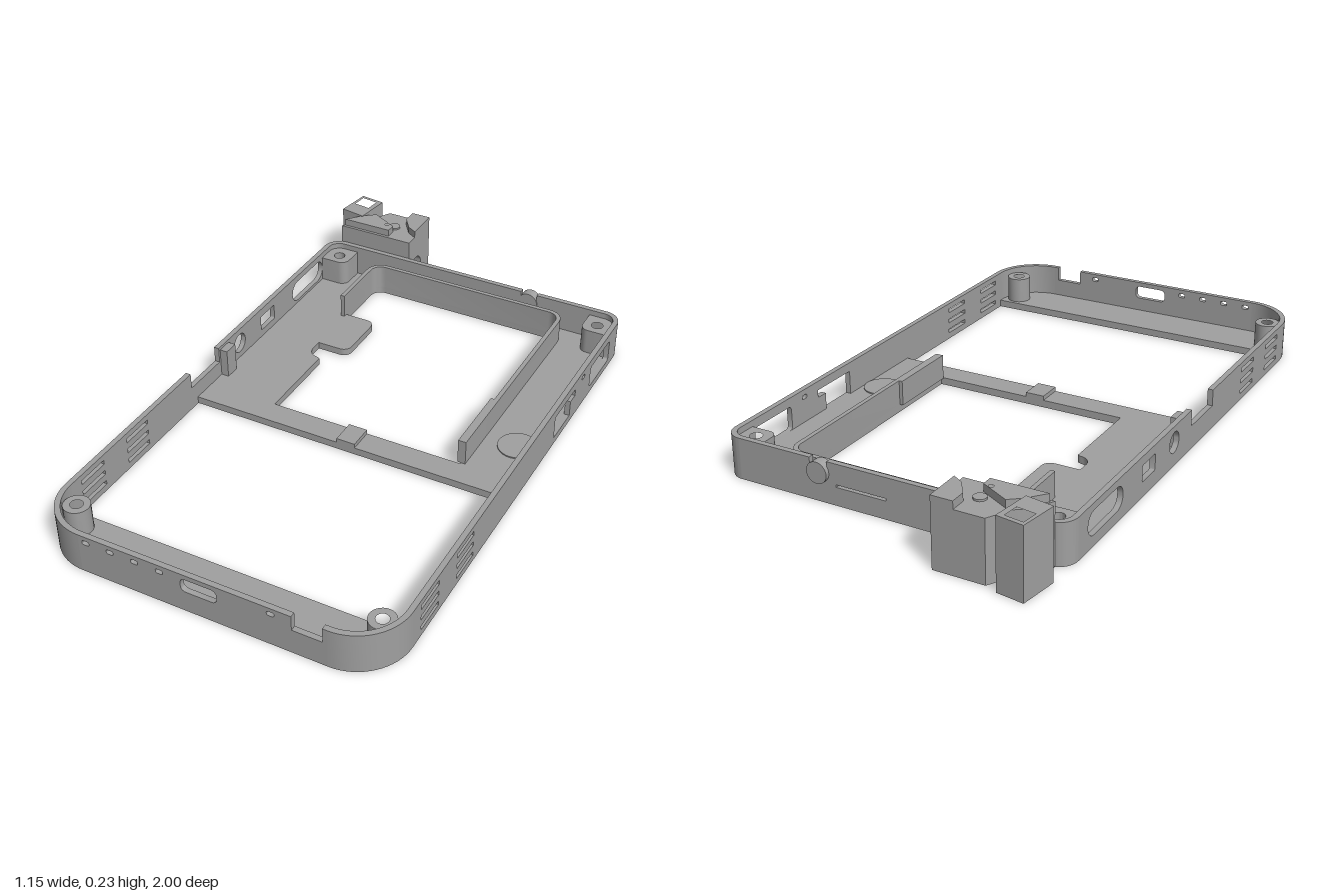
import * as THREE from 'three';
import { toCreasedNormals } from 'three/addons/utils/BufferGeometryUtils.js';

const H = 0.135, T = 0.018, W = 0.575, FRONT = 1, BACK = -0.805;
const RF = 0.17, RB = 0.06, FLOOR = 0.025;

const grey = new THREE.MeshStandardMaterial({ color: 0xa0a0a0 });
grey.name = 'plastic grey';

// points along an arc, angles in quarter turns
function arc(cx, cy, r, a0, a1, n = 10) {
  return Array.from({ length: n + 1 }, (_, i) => {
    const a = (a0 + (a1 - a0) * i / n) * Math.PI / 2;
    return [cx + r * Math.cos(a), cy + r * Math.sin(a)];
  });
}
const circle = (cx, cy, r) => arc(cx, cy, r, 0, 4, 28).slice(0, -1);
const box2 = (a, b, c, d) => [[a, c], [b, c], [b, d], [a, d]];
function rounded(a, b, c, d, r) {
  return [...arc(b - r, d - r, r, 0, 1, 5), ...arc(a + r, d - r, r, 1, 2, 5),
    ...arc(a + r, c + r, r, 2, 3, 5), ...arc(b - r, c + r, r, 3, 4, 5)];
}
const vec = (pts) => pts.map(([x, y]) => new THREE.Vector2(x, y));

function extrude(outline, holes, depth) {
  const shape = new THREE.Shape(vec(outline));
  shape.holes = holes.map((h) => new THREE.Path(vec(h)));
  return new THREE.ExtrudeGeometry(shape, { depth, bevelEnabled: false });
}

export function createModel() {
  const model = new THREE.Group();
  model.name = 'deviceFrame';

  function add(name, geometry, parent = model) {
    const mesh = new THREE.Mesh(toCreasedNormals(geometry, 0.6), grey);
    mesh.name = name;
    parent.add(mesh);
    return mesh;
  }
  // horizontal plate, outline given as [x, z]
  function slab(name, pts, y0, y1, holes = []) {
    const flip = (list) => list.map(([x, z]) => [x, -z]);
    const g = extrude(flip(pts), holes.map(flip), y1 - y0);
    return add(name, g.rotateX(-Math.PI / 2).translate(0, y0, 0));
  }
  const block = (name, x0, x1, y0, y1, z0, z1) => slab(name, box2(x0, x1, z0, z1), y0, y1);

  // upright wall panel with holes and notches cut from its top edge
  function panel(u0, u1, holes, notches = []) {
    const top = notches.flatMap(([a, b, y]) => [[b, H], [b, y], [a, y], [a, H]]);
    return extrude([[u0, 0], [u1, 0], [u1, H], ...top, [u0, H]], holes, T);
  }

  // side walls
  const vents = [];
  for (const z of [0.44, 0.67])
    for (const y of [0.022, 0.061, 0.1]) vents.push(box2(z, z + 0.112, y, y + 0.015));
  const zb = BACK + RB, zf = FRONT - RF;
  const leftHoles = [...vents,
    [[-0.185, 0.025], [-0.185, 0.105], [-0.36, 0.105], [-0.36, 0.08], [-0.32, 0.08], [-0.32, 0.025]],
    rounded(-0.68, -0.5, 0.025, 0.105, 0.012),
    rounded(-0.442, -0.418, 0.103, 0.117, 0.005)];
  add('leftWall', panel(zb, zf, leftHoles).rotateY(-Math.PI / 2).translate(W, 0, 0));
  const rightHoles = [...vents,
    rounded(-0.69, -0.47, 0.035, 0.112, 0.037),
    rounded(-0.34, -0.25, 0.05, 0.105, 0.006),
    circle(-0.11, 0.08, 0.035)];
  add('rightWall', panel(zb, zf, rightHoles, [[0.02, 0.19, 0.08]])
    .rotateY(-Math.PI / 2).translate(-W + T, 0, 0));

  // front wall
  const frontHoles = [rounded(-0.06, 0.058, 0.073, 0.119, 0.016), rounded(0.218, 0.242, 0.107, 0.122, 0.006)];
  for (const x of [-0.38, -0.296, -0.213, -0.129])
    frontHoles.push(rounded(x - 0.012, x + 0.012, 0.105, 0.12, 0.005));
  add('frontWall', panel(-W + RF, W - RF, frontHoles, [[0.295, 0.39, 0.085]]).translate(0, 0, FRONT - T));

  // back wall with slot and round button
  add('backWall', panel(-W + RB, W - RB, [box2(0.0, 0.17, 0.06, 0.068)], [[0.2, 0.26, 0.11]])
    .translate(0, 0, BACK));
  add('backButton', new THREE.CylinderGeometry(0.035, 0.035, 0.035, 28)
    .rotateX(Math.PI / 2).translate(0.228, 0.098, BACK + 0.004));

  // corner walls
  for (const s of [-1, 1]) {
    const side = s > 0 ? 'left' : 'right';
    const mirror = (pts) => pts.map(([x, z]) => [s * x, z]);
    const ring = (cx, cz, r, a) => mirror([...arc(cx, cz, r, a, a + 1, 16),
      ...arc(cx, cz, r - T, a + 1, a, 16)]);
    slab(side + 'FrontCorner', ring(W - RF, zf, RF, 0), 0, H);
    slab(side + 'BackCorner', ring(W - RB, zb, RB, 3), 0, H);

    // screw posts
    slab(side + 'FrontPost', circle(s * 0.505, 0.875, 0.042), FLOOR, 0.115, [circle(s * 0.505, 0.875, 0.02)]);
    const backPost = [...arc(W - RB, zb, RB - T, 3, 4, 8), [W - T, -0.69],
      ...arc(0.49, -0.72, 0.03, 1, 2, 6), [0.46, BACK + T]];
    slab(side + 'BackPost', mirror(backPost), FLOOR, 0.115, [circle(s * 0.508, -0.735, 0.02)]);
  }

  // floors, drilled below the posts
  const xi = W - T;
  slab('frontFloor', [[-xi, 0.82], [xi, 0.82], ...arc(W - RF, zf, RF - T, 0, 1, 16),
    ...arc(-W + RF, zf, RF - T, 1, 2, 16)], 0, FLOOR,
    [-1, 1].map((s) => circle(s * 0.505, 0.875, 0.02)));
  const opening = [[-0.31, 0.075], [0.365, 0.075], ...arc(0.325, -0.705, 0.04, 4, 3, 6),
    ...arc(-0.32, -0.705, 0.04, 3, 2, 6), [-0.36, -0.515],
    ...arc(-0.275, -0.485, 0.03, 3, 4, 6), ...arc(-0.275, -0.34, 0.03, 0, 1, 6),
    [-0.36, -0.31], ...arc(-0.32, -0.27, 0.04, 2, 1, 6), [-0.31, -0.225]];
  slab('mainFloor', [[xi, 0.16], [-xi, 0.16], ...arc(-W + RB, zb, RB - T, 2, 3, 8),
    ...arc(W - RB, zb, RB - T, 3, 4, 8)], 0, FLOOR,
    [opening, ...[-1, 1].map((s) => circle(s * 0.508, -0.735, 0.02))]);

  // upright rim around the opening
  const rim = [[0.365, 0.07], [0.38, 0.07], ...arc(0.325, -0.705, 0.055, 4, 3, 6),
    ...arc(-0.32, -0.705, 0.055, 3, 2, 6), [-0.375, -0.5], [-0.36, -0.5],
    ...arc(-0.32, -0.705, 0.04, 2, 3, 6), ...arc(0.325, -0.705, 0.04, 3, 4, 6)];
  slab('openingRim', rim, FLOOR, 0.11);
  block('rimThickening', 0.353, 0.366, FLOOR, 0.11, -0.18, 0.07);

  // small floor details
  block('floorClip', -0.03, 0.035, FLOOR, 0.04, 0.075, 0.16);
  slab('floorDisc', circle(0.49, -0.09, 0.065), FLOOR, FLOOR + 0.004);
  block('rightWallStop', -xi, -0.53, FLOOR, 0.125, -0.04, 0.012);

  // corner bracket body; the outer cheek carries a round bore
  slab('bracketBody', [[-0.3, BACK], [-0.535, BACK], [-0.5, -0.87], [-0.46, -0.9], [-0.42, -0.972], [-0.3, -0.972]],
    0, 0.2);
  add('bracketCheek', extrude(box2(-0.972, BACK, 0, 0.2), [circle(-0.865, 0.07, 0.04)], 0.045)
    .rotateY(-Math.PI / 2).translate(-0.255, 0, 0));
  // angled arm with square bore
  slab('bracketArm', [[-0.548, -1], [-0.46, -0.988], [-0.478, -0.86], [-0.568, -0.875]], 0, 0.228,
    [[[-0.54, -0.985], [-0.48, -0.977], [-0.487, -0.925], [-0.547, -0.933]]]);
  // raised pads either side of the diagonal channel
  slab('bracketPad', [[-0.478, -0.87], [-0.44, -0.9], [-0.345, -0.85], [-0.345, -0.815], [-0.525, -0.815]],
    0.2, 0.225, [circle(-0.37, -0.852, 0.008)]);
  slab('bracketPad', [[-0.325, -0.972], [-0.255, -0.972], [-0.255, -0.85], [-0.29, -0.87], [-0.325, -0.92]],
    0.2, 0.225);
  slab('bracketScrew', circle(-0.355, -0.885, 0.02), 0.2, 0.206);

  return model;
}
